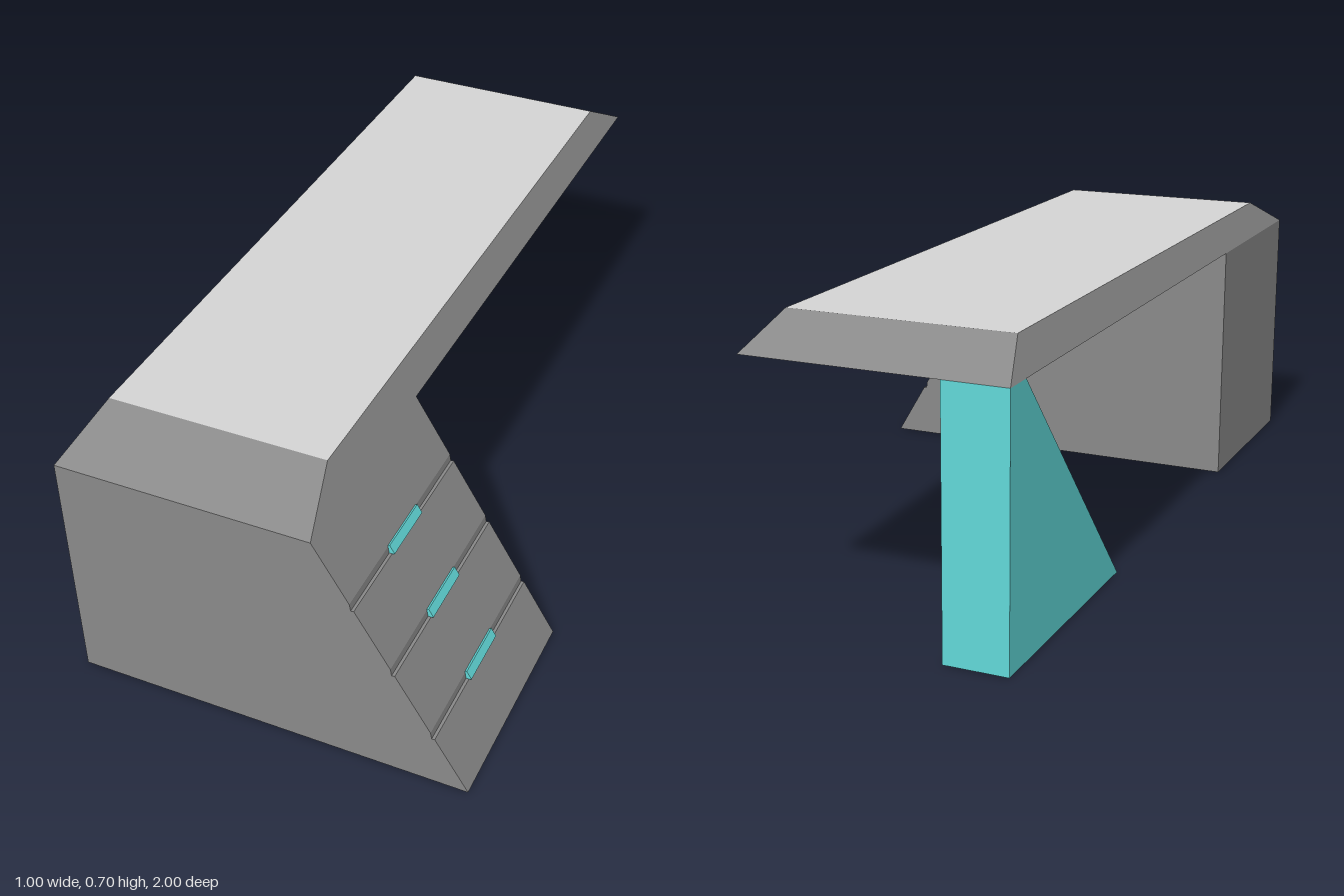
import * as THREE from 'three';

const grey = new THREE.MeshStandardMaterial({ color: 0x898989 });
grey.name = 'grey body';
const light = new THREE.MeshStandardMaterial({ color: 0xd4d4d4 });
light.name = 'light worktop';
const teal = new THREE.MeshStandardMaterial({ color: 0x61d8d8 });
teal.name = 'teal accent';

// Slanted drawer front, from the floor up to the desktop edge
const foot = new THREE.Vector2(0.5, 0);
const head = new THREE.Vector2(0.135, 0.625);
const along = head.clone().sub(foot).normalize();
const outward = new THREE.Vector2(along.y, -along.x);
const tilt = Math.atan2(outward.y, outward.x);
const drawerHeights = [0.148, 0.31, 0.47];

// Point on the slanted front: height y, slid along it by s and pushed out by d
function slopePoint(y, s = 0, d = 0) {
  return foot.clone().addScaledVector(along, y / along.y + s).addScaledVector(outward, d);
}

function add(group, name, geometry, material) {
  const mesh = new THREE.Mesh(geometry, material);
  mesh.name = name;
  group.add(mesh);
  return mesh;
}

export function createModel() {
  const desk = new THREE.Group();
  desk.name = 'desk';

  // Desktop: a box whose top face is drawn inwards to bevel all four sides
  const top = new THREE.BoxGeometry(0.635, 0.077, 2);
  top.translate(-0.1825, 0.6635, 0);
  const p = top.attributes.position;
  for (let i = 0; i < p.count; i++) {
    if (p.getY(i) < 0.66) continue;
    p.setX(i, p.getX(i) < -0.18 ? -0.457 : 0.092);
    p.setZ(i, p.getZ(i) < 0 ? -0.865 : 0.825);
  }
  top.computeVertexNormals();
  add(desk, 'desktop', top, [grey, grey, light, grey, grey, grey]);

  // Drawer cabinet: slanted profile with a shallow groove at each drawer
  const profile = [new THREE.Vector2(-0.5, 0), foot];
  for (const y of drawerHeights) {
    profile.push(slopePoint(y, -0.01), slopePoint(y, -0.007, -0.007), slopePoint(y, 0.01));
  }
  profile.push(head, new THREE.Vector2(-0.5, 0.625));
  const cabinet = new THREE.ExtrudeGeometry(new THREE.Shape(profile), { depth: 0.545, bevelEnabled: false });
  cabinet.translate(0, 0, 0.455);
  add(desk, 'drawerCabinet', cabinet, grey);

  // Drawer handles set into the grooves
  for (const y of drawerHeights) {
    const handle = add(desk, 'drawerHandle', new THREE.BoxGeometry(0.016, 0.024, 0.15), teal);
    const c = slopePoint(y, 0, -0.002);
    handle.position.set(c.x, c.y, 0.728);
    handle.rotation.z = tilt;
  }

  // Wedge leg at the rear, drawn as z against y and turned to run along x
  const wedge = new THREE.Shape([
    new THREE.Vector2(0.36, 0), new THREE.Vector2(1, 0),
    new THREE.Vector2(1, 0.625), new THREE.Vector2(0.92, 0.625),
  ]);
  const leg = new THREE.ExtrudeGeometry(wedge, { depth: 0.155, bevelEnabled: false });
  leg.rotateY(Math.PI / 2);
  leg.translate(-0.5, 0, 0);
  add(desk, 'wedgeLeg', leg, teal);

  return desk;
}
